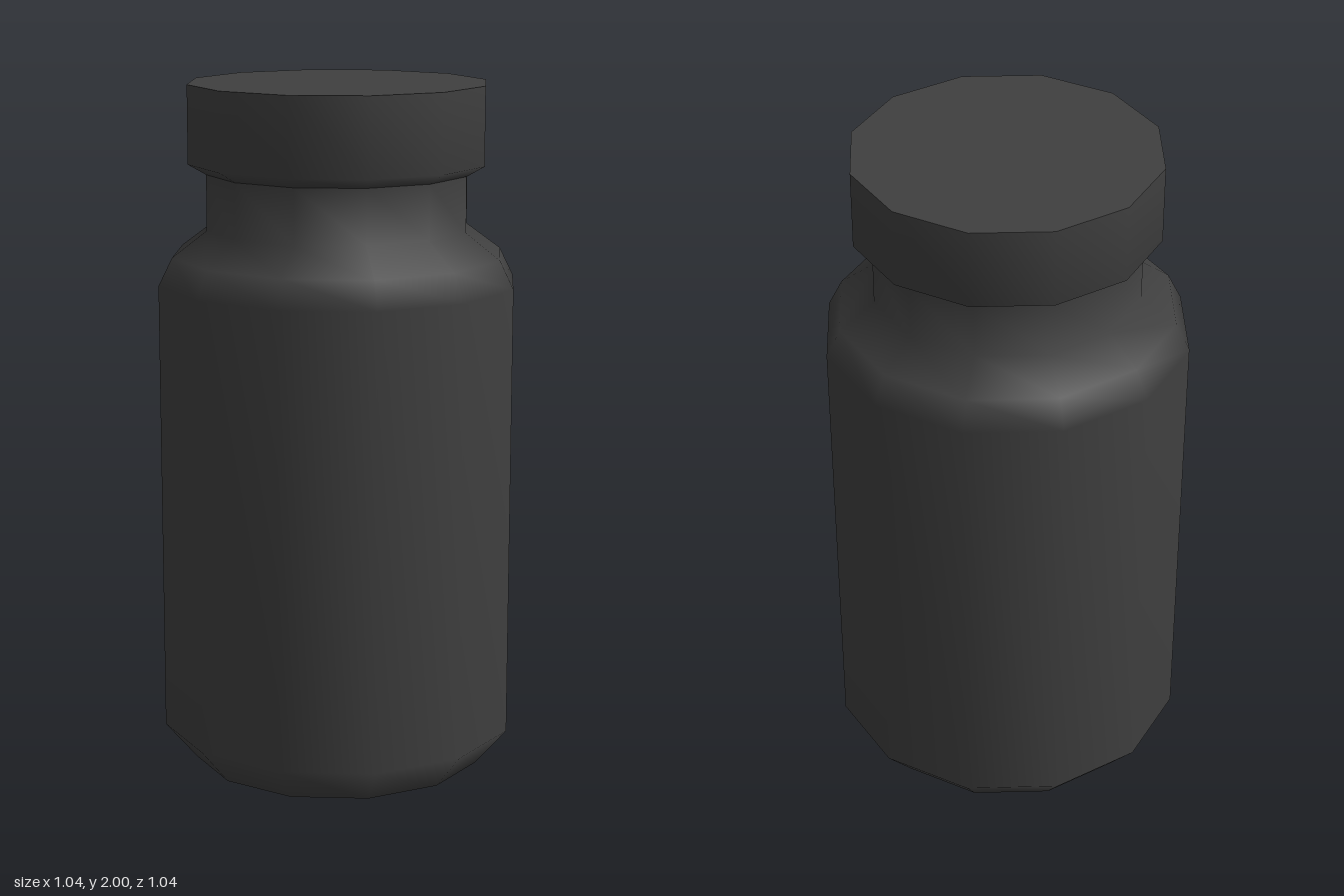
import * as THREE from 'three';

const SIDES = 12;
const TURN = THREE.MathUtils.degToRad(7.2); // the twelve-sided outline is slightly rotated

export function createModel() {
  const group = new THREE.Group();
  group.name = 'jar';
  const material = new THREE.MeshStandardMaterial({ color: 0x404040 });

  // Turns a [radius, height] profile, listed from bottom to top, into a named part
  const turned = (name, profile) => {
    const points = profile.map(([r, y]) => new THREE.Vector2(r, y));
    const mesh = new THREE.Mesh(new THREE.LatheGeometry(points, SIDES, TURN), material);
    mesh.name = name;
    group.add(mesh);
  };

  // Flat underside
  turned('base', [[0, 0], [0.43, 0]]);

  // Chamfered foot, straight wall, rounded shoulder and neck
  turned('body', [
    [0.43, 0], [0.523, 0.11], [0.523, 1.43],
    [0.483, 1.51], [0.382, 1.585], [0.382, 1.745],
  ]);

  // Overhanging lid with a sloped lower edge
  turned('lidRim', [[0.382, 1.745], [0.434, 1.775], [0.434, 2]]);
  turned('lidTop', [[0.434, 2], [0, 2]]);

  return group;
}
